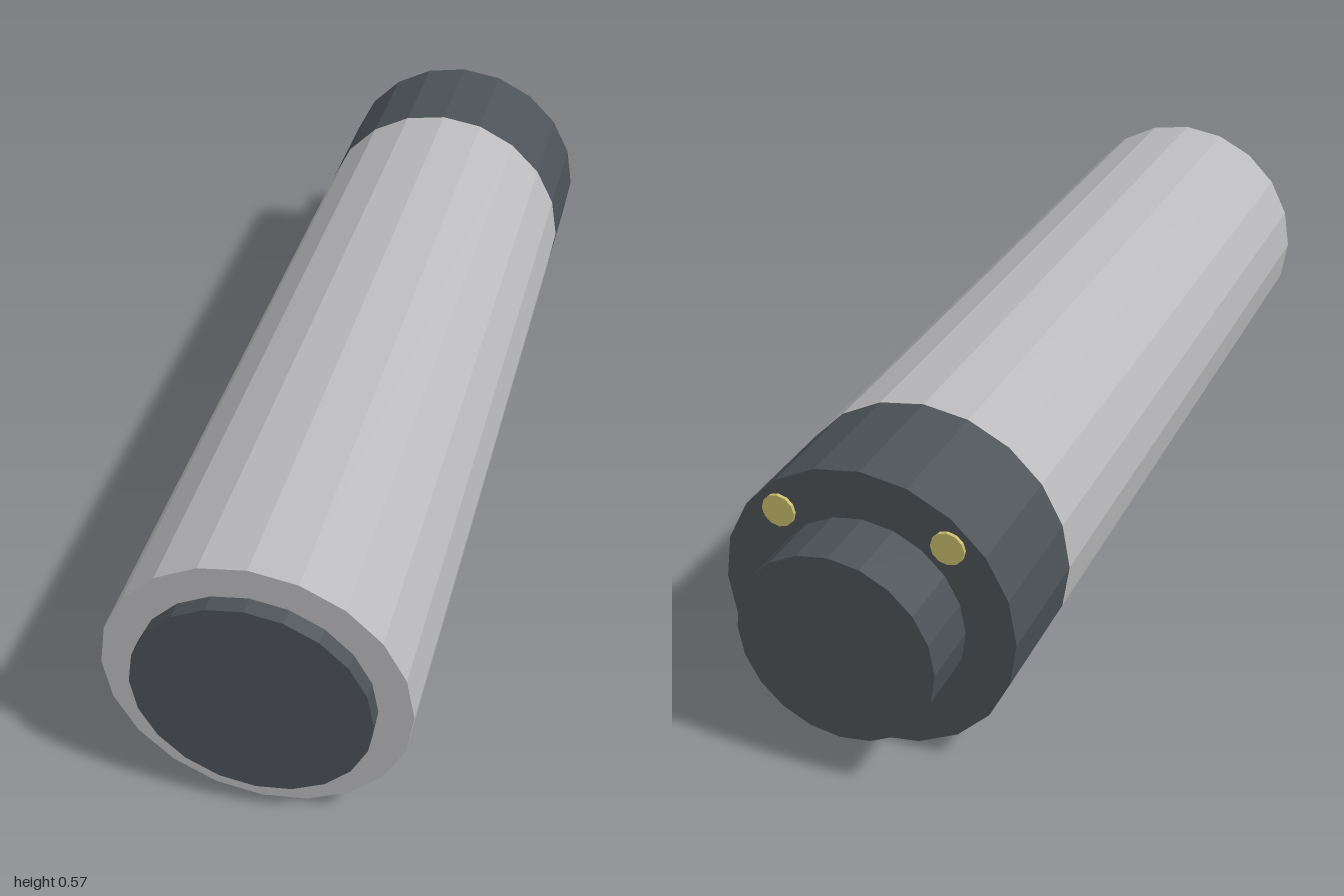
import * as THREE from 'three';

const AXIS_Y = 0.286;

function material(name, color) {
  const m = new THREE.MeshStandardMaterial({ color });
  m.name = name;
  m.flatShading = true;
  return m;
}

export function createModel() {
  const group = new THREE.Group();
  group.name = 'cylinderDevice';
  const silver = material('silver', 0xbababc);
  const charcoal = material('charcoal', 0x4c5257);
  const brass = material('brass', 0xc8bb6c);

  // Faceted cylinder lying along z between two depths
  function barrel(name, radius, zBack, zFront, mat, x = 0, y = AXIS_Y, sides = 20) {
    const geometry = new THREE.CylinderGeometry(radius, radius, zFront - zBack, sides);
    geometry.rotateX(Math.PI / 2);
    const mesh = new THREE.Mesh(geometry, mat);
    mesh.name = name;
    mesh.position.set(x, y, (zBack + zFront) / 2);
    group.add(mesh);
  }

  barrel('body', 0.286, -0.62, 0.967, silver);
  barrel('frontCap', 0.222, 0.967, 1, charcoal);
  barrel('rearCollar', 0.286, -0.873, -0.62, charcoal);
  barrel('rearPlug', 0.19, -1, -0.873, charcoal);

  // Pair of brass contacts on the rear shoulder
  for (const side of [-1, 1]) {
    const name = side > 0 ? 'leftContact' : 'rightContact';
    barrel(name, 0.032, -0.88, -0.872, brass, side * 0.163, 0.459, 12);
  }

  return group;
}
